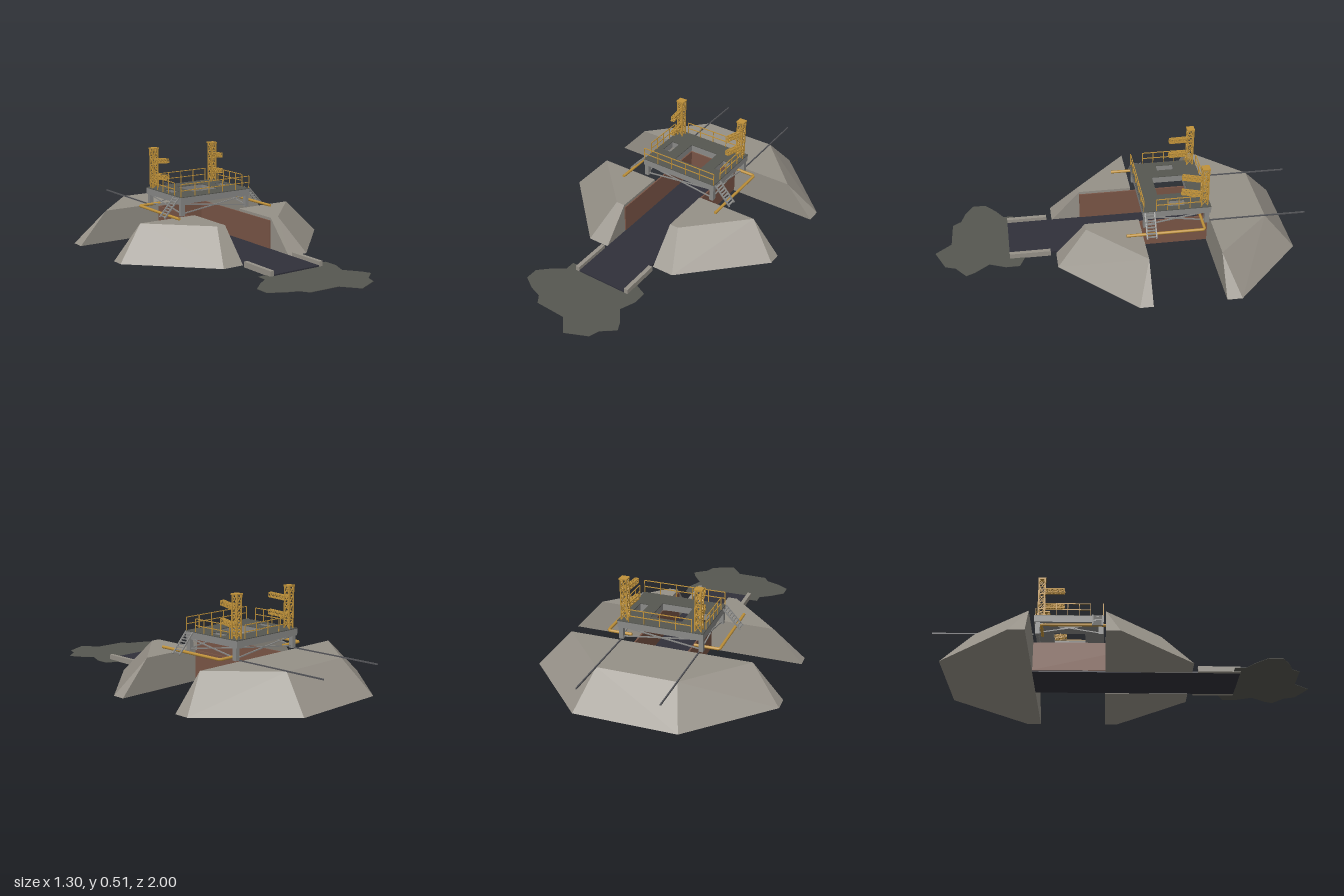
import * as THREE from 'three';
import { ConvexGeometry } from 'three/addons/geometries/ConvexGeometry.js';
import { mergeGeometries } from 'three/addons/utils/BufferGeometryUtils.js';

const material = (name, color, extra = {}) => {
  const m = new THREE.MeshStandardMaterial({ color, ...extra });
  m.name = name;
  return m;
};
const V = (x, y, z) => new THREE.Vector3(x, y, z);

// box given by its limits on each axis
function box(x0, x1, y0, y1, z0, z1) {
  return new THREE.BoxGeometry(x1 - x0, y1 - y0, z1 - z0)
    .translate((x0 + x1) / 2, (y0 + y1) / 2, (z0 + z1) / 2);
}

// square bar between two points
function bar(a, b, t) {
  const g = new THREE.BoxGeometry(t, t, a.distanceTo(b));
  const o = new THREE.Object3D();
  o.position.copy(a).add(b).multiplyScalar(0.5);
  o.lookAt(b);
  o.updateMatrix();
  return g.applyMatrix4(o.matrix);
}

// four chords with rungs and diagonals, running along +y from the origin
function lattice(w, d, length, bays, t) {
  const parts = [];
  const corners = [[-w, -d], [w, -d], [w, d], [-w, d]].map(([x, z]) => [x / 2, z / 2]);
  corners.forEach(([x, z], i) => {
    const [nx, nz] = corners[(i + 1) % 4];
    parts.push(bar(V(x, 0, z), V(x, length, z), t));
    for (let k = 0; k < bays; k++) {
      const y0 = (k * length) / bays, y1 = ((k + 1) * length) / bays;
      parts.push(bar(V(x, y1, z), V(nx, y1, nz), t * 0.7));
      parts.push(bar(V(x, y0, z), V(nx, y1, nz), t * 0.55));
      parts.push(bar(V(nx, y0, nz), V(x, y1, z), t * 0.55));
    }
  });
  return mergeGeometries(parts);
}

// horizontal slab from a shape drawn in x and z
function slab(shape, top, depth) {
  return new THREE.ExtrudeGeometry(shape, { depth, bevelEnabled: false })
    .rotateX(Math.PI / 2).translate(0, top, 0);
}

export function createModel() {
  const root = new THREE.Group();
  root.name = 'launchPad';
  const concrete = material('concrete', 0x969188, { flatShading: true });
  const steel = material('grey steel', 0x8a8a88);
  const deckDark = material('dark deck', 0x565751);
  const scorch = material('scorched ground', 0x565751, { side: THREE.DoubleSide });
  const brick = material('trench lining', 0x7a5546);
  const floorMat = material('trench floor', 0x30303a);
  const yellow = material('yellow paint', 0xc0923a);
  const darkSteel = material('dark steel', 0x55565a);
  const add = (name, geo, mat) => {
    const m = new THREE.Mesh(geo, mat);
    m.name = name;
    root.add(m);
    return m;
  };

  // concrete mounds
  const H = 0.18;
  const hull = (bottom, top) => new ConvexGeometry([
    ...bottom.map(([x, z]) => V(x, 0, z)), ...top.map(([x, z]) => V(x, H, z))]);
  add('backMound', hull(
    [[-0.65, -0.48], [-0.65, -0.56], [-0.27, -0.94], [0.27, -0.94], [0.65, -0.56], [0.65, -0.48]],
    [[-0.49, -0.48], [-0.21, -0.78], [0.21, -0.78], [0.49, -0.48]]), concrete);
  for (const s of [-1, 1]) {
    const flip = (pts) => pts.map(([x, z]) => [s * x, z]);
    add('frontMound', hull(
      flip([[0.15, -0.1], [0.65, -0.1], [0.65, -0.03], [0.27, 0.35], [0.15, 0.35]]),
      flip([[0.15, -0.1], [0.49, -0.1], [0.2, 0.19], [0.15, 0.19]])), concrete);
  }

  // flame trench
  add('trenchFloor', box(-0.145, 0.145, 0, 0.01, -0.48, 0.6), floorMat);
  add('trenchBackWall', box(-0.145, 0.145, 0.01, 0.165, -0.479, -0.472), brick);
  for (const s of [-1, 1]) {
    const x = s * 0.147;
    add('trenchSideWall', box(x - 0.004, x + 0.004, 0.008, 0.165, -0.479, 0.19), brick);
    add('trenchKerb', box(s * 0.156 - 0.011, s * 0.156 + 0.011, 0, 0.03, 0.38, 0.6), concrete);
  }

  // scorched patch at the trench mouth
  const patch = [[-0.215, 0.565], [-0.215, 0.62], [-0.275, 0.66], [-0.34, 0.72], [-0.34, 0.79],
    [-0.27, 0.835], [-0.2, 0.86], [-0.17, 0.905], [0, 0.912], [0.07, 0.998], [0.19, 0.945],
    [0.21, 0.89], [0.28, 0.835], [0.26, 0.79], [0.2, 0.71], [0.235, 0.625], [0.235, 0.55],
    [0.17, 0.52], [0, 0.56]];
  add('scorchedGround', slab(new THREE.Shape(patch.map(([x, z]) => new THREE.Vector2(x, z))),
    0.003, 0.002), scorch);

  // platform deck with the central opening and two side openings
  const rect = (C, x0, x1, z0, z1) => new C([[x0, z0], [x1, z0], [x1, z1], [x0, z1]]
    .map(([x, z]) => new THREE.Vector2(x, z)));
  const deck = rect(THREE.Shape, -0.23, 0.23, -0.475, -0.11);
  deck.holes.push(rect(THREE.Path, -0.085, 0.085, -0.38, -0.21));
  for (const s of [-1, 1])
    deck.holes.push(rect(THREE.Path, s * 0.172 - 0.024, s * 0.172 + 0.024, -0.345, -0.25));
  add('platformDeck', slab(deck, 0.282, 0.035), steel);
  add('deckSurface', slab(deck, 0.286, 0.004), deckDark);

  // legs and cross bracing
  const lx = 0.215, zf = -0.125, zb = -0.455;
  for (const x of [-lx, lx]) for (const z of [zf, zb])
    add('platformLeg', box(x - 0.012, x + 0.012, H, 0.248, z - 0.012, z + 0.012), steel);
  const braces = [];
  const cross = (x0, z0, x1, z1) => {
    braces.push(bar(V(x0, 0.19, z0), V(x1, 0.245, z1), 0.006));
    braces.push(bar(V(x0, 0.245, z0), V(x1, 0.19, z1), 0.006));
  };
  for (const z of [zf, zb]) cross(-lx, z, lx, z);
  for (const x of [-lx, lx]) cross(x, zf, x, zb);
  add('crossBraces', mergeGeometries(braces), steel);

  // guard rail around the deck
  const rails = [];
  const run = (a, b, n) => {
    for (const y of [0.32, 0.355])
      rails.push(bar(V(a[0], y, a[1]), V(b[0], y, b[1]), 0.004));
    for (let i = 0; i <= n; i++) {
      const x = a[0] + ((b[0] - a[0]) * i) / n, z = a[1] + ((b[1] - a[1]) * i) / n;
      rails.push(bar(V(x, 0.284, z), V(x, 0.355, z), 0.004));
    }
  };
  run([-0.227, -0.113], [0.227, -0.113], 5);
  run([-0.17, -0.472], [0.17, -0.472], 4);
  for (const x of [-0.227, 0.227]) run([x, -0.18], [x, -0.42], 4);
  add('guardRail', mergeGeometries(rails), yellow);

  for (const s of [-1, 1]) {
    // service tower with two swing arms
    const tx = s * 0.198, tz = -0.441;
    add('serviceTower', lattice(0.032, 0.032, 0.222, 5, 0.006).translate(tx, 0.286, tz), yellow);
    add('towerCap', box(tx - 0.022, tx + 0.022, 0.506, 0.514, tz - 0.021, tz + 0.021), yellow);
    for (const y of [0.35, 0.442]) {
      const arm = add('swingArm', lattice(0.018, 0.022, 0.105, 4, 0.005).rotateX(Math.PI / 2), yellow);
      arm.position.set(s * 0.2, y, -0.425);
      arm.rotation.set(-0.1, -s * 0.19, 0);
    }

    // side stairs
    const stairs = [];
    for (const z of [-0.168, -0.118])
      stairs.push(bar(V(s * 0.235, 0.284, z), V(s * 0.33, H, z), 0.007));
    for (let i = 0; i < 8; i++) {
      const x = s * (0.244 + i * 0.0112), y = 0.274 - i * 0.0123;
      stairs.push(box(x - 0.005, x + 0.005, y - 0.002, y + 0.002, -0.168, -0.118));
    }
    add('stairs', mergeGeometries(stairs), steel);

    // supply pipe
    const pipe = new THREE.CurvePath();
    const pts = [V(s * 0.17, 0.194, -0.43), V(s * 0.29, 0.194, -0.43),
      V(s * 0.303, 0.194, -0.417), V(s * 0.303, 0.194, -0.012)];
    pipe.add(new THREE.LineCurve3(pts[0], pts[1]));
    pipe.add(new THREE.QuadraticBezierCurve3(pts[1], V(s * 0.303, 0.194, -0.43), pts[2]));
    pipe.add(new THREE.LineCurve3(pts[2], pts[3]));
    add('supplyPipe', new THREE.TubeGeometry(pipe, 48, 0.008, 8), yellow);
    for (const [p, turn] of [[pts[0], -s * Math.PI / 2], [pts[3], 0]])
      add('pipeEnd', new THREE.CircleGeometry(0.008, 8).rotateY(turn).translate(p.x, p.y, p.z), yellow);

    // transport rail running out over the back mound
    add('transportRail', box(s * 0.21 - 0.003, s * 0.21 + 0.003, 0.179, 0.186, -1, -0.475), darkSteel);
  }
  return root;
}
